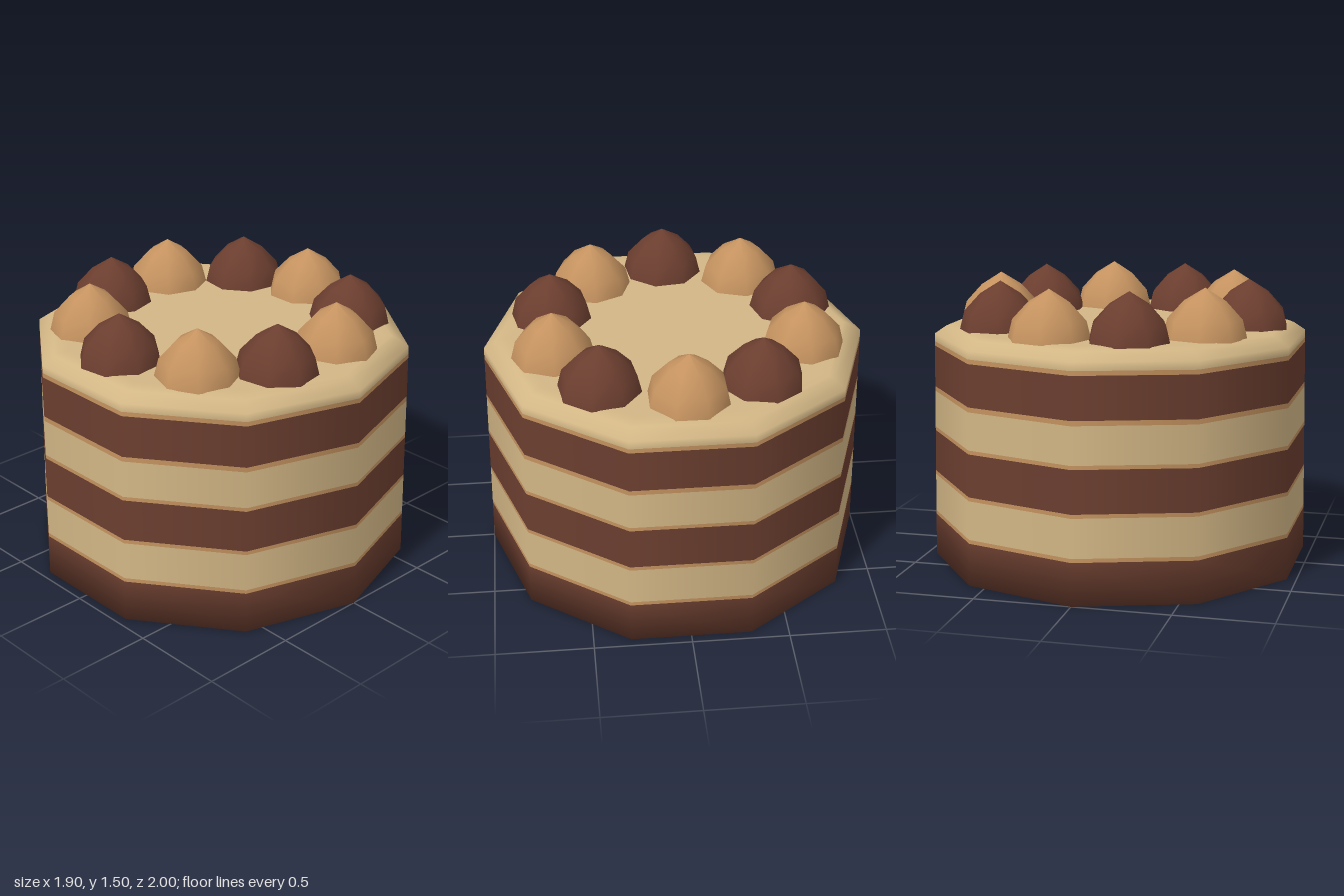
import * as THREE from 'three';

const paint = (name, color) => Object.assign(new THREE.MeshStandardMaterial({ color }), { name });

export function createModel() {
  const chocolate = paint('chocolate', 0x6b3e2f);
  const cream = paint('cream', 0xd2b685);
  const caramel = paint('caramel', 0xc4925f);

  const cake = new THREE.Group();
  cake.name = 'cake';

  // Revolved part from [radius, height] pairs, listed bottom to top
  const turn = (name, profile, sides, material, parent = cake) => {
    const points = profile.map(([r, y]) => new THREE.Vector2(r, y));
    const mesh = new THREE.Mesh(new THREE.LatheGeometry(points, sides), material);
    mesh.name = name;
    parent.add(mesh);
    return mesh;
  };

  // Ten-sided body, tapering slightly towards the top
  const SIDES = 10;
  const wall = (y) => [1 - 0.0145 * y, y];

  // Stacked sponge and cream layers with thin caramel seams between them
  turn('baseSponge', [[0, 0], wall(0), wall(0.22)], SIDES, chocolate);
  const layers = [
    ['lowerCream', 0.24, 0.44, cream],
    ['middleSponge', 0.46, 0.68, chocolate],
    ['upperCream', 0.70, 0.893, cream],
    ['topSponge', 0.918, 1.135, chocolate],
  ];
  let seamStart = 0.22;
  for (const [name, from, to, material] of layers) {
    turn('caramelSeam', [wall(seamStart), wall(from)], SIDES, caramel);
    turn(name, [wall(from), wall(to)], SIDES, material);
    seamStart = to;
  }
  turn('caramelSeam', [wall(seamStart), wall(1.158)], SIDES, caramel);

  // Frosting with a bevelled rim and flat top
  turn('frosting', [wall(1.158), wall(1.2), [0.92, 1.242], [0.89, 1.253], [0.84, 1.255], [0, 1.255]],
    SIDES, cream);

  // Ring of pointed cream drops in alternating colours: x, z, turn in degrees
  const drops = [
    [0.66, -0.01, 22], [0.54, -0.385, 13], [0.205, -0.64, 4], [-0.2, -0.635, 39], [-0.53, -0.41, 4],
    [-0.68, 0, 30], [-0.53, 0.4, 4], [-0.21, 0.625, 32], [0.2, 0.63, 0], [0.535, 0.415, 31],
  ];
  const dropProfile = [[0.212, 0], [0.188, 0.095], [0.105, 0.185], [0, 0.25]];
  const ring = new THREE.Group();
  ring.name = 'dropRing';
  cake.add(ring);
  drops.forEach(([x, z, degrees], i) => {
    const drop = turn('drop', dropProfile, 8, i % 2 ? chocolate : caramel, ring);
    drop.position.set(x, 1.25, z);
    drop.rotation.y = THREE.MathUtils.degToRad(degrees);
  });

  return cake;
}
